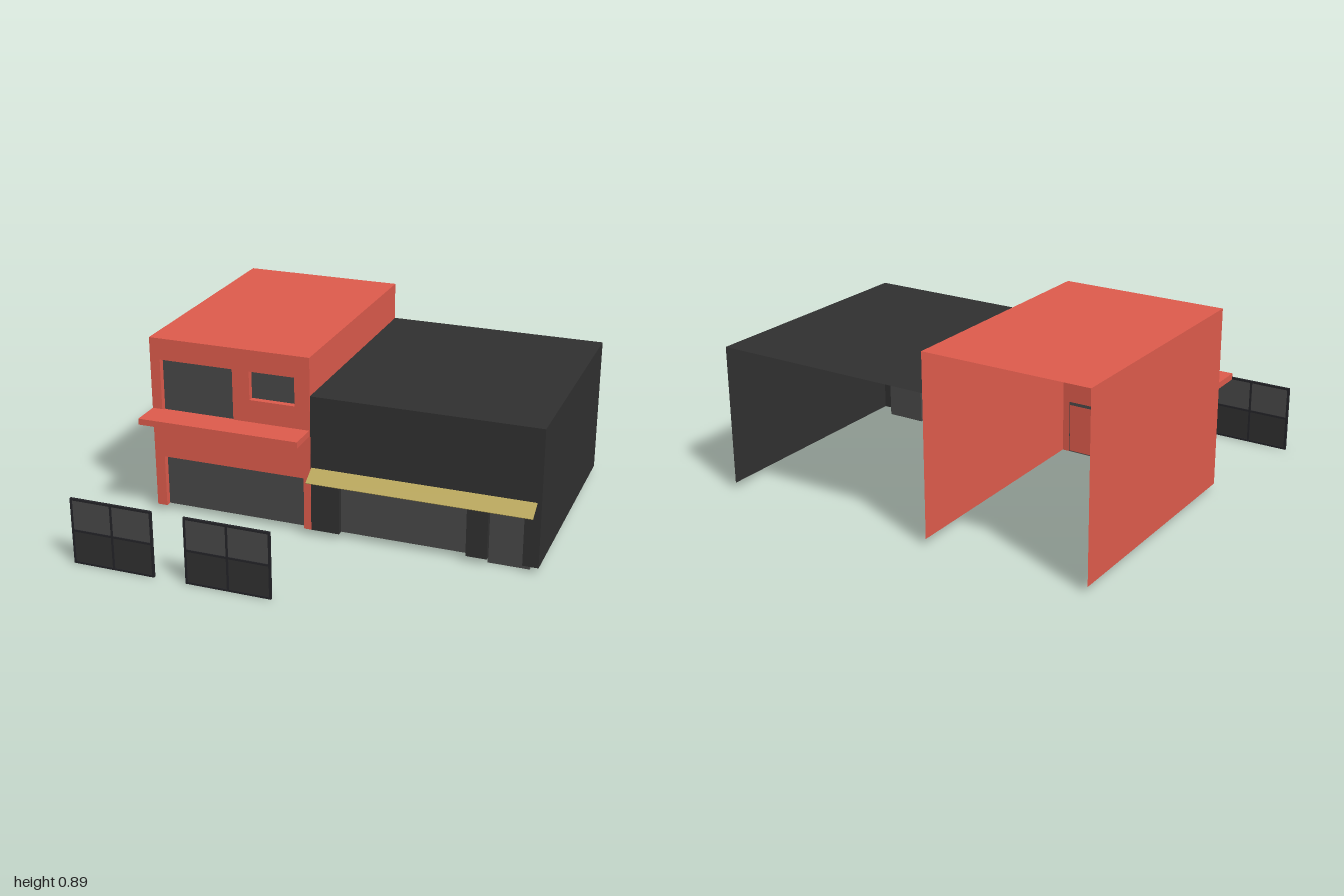
import * as THREE from 'three';

const mat = (color) => new THREE.MeshStandardMaterial({ color, side: THREE.DoubleSide, flatShading: true });
const red = mat(0xdd5b4c), black = mat(0x303030), glass = mat(0x484848), gold = mat(0xb8a65c), frameMat = mat(0x242428);

const BACK = -0.91, FRONT = 0.28, WALL = 0.03, BASE = 0.03;

function add(parent, name, geometry, material) {
  const mesh = new THREE.Mesh(geometry, material);
  mesh.name = name;
  parent.add(mesh);
  return mesh;
}

// Box given by its two corners
function box(parent, name, material, x0, x1, y0, y1, z0, z1) {
  const mesh = add(parent, name, new THREE.BoxGeometry(x1 - x0, y1 - y0, z1 - z0), material);
  mesh.position.set((x0 + x1) / 2, (y0 + y1) / 2, (z0 + z1) / 2);
  return mesh;
}

// Upright panel facing the front
function panel(parent, name, material, [x0, x1, y0, y1], z) {
  const mesh = add(parent, name, new THREE.PlaneGeometry(x1 - x0, y1 - y0), material);
  mesh.position.set((x0 + x1) / 2, (y0 + y1) / 2, z);
}

// Shell open at the back and below, with doorways and windows cut in its front
function building(name, material, x0, x1, top, doorways, windows) {
  const group = new THREE.Group();
  group.name = name;
  const depth = FRONT - BACK, midZ = (FRONT + BACK) / 2;

  const roof = add(group, 'roof', new THREE.PlaneGeometry(x1 - x0, depth).rotateX(-Math.PI / 2), material);
  roof.position.set((x0 + x1) / 2, top, midZ);
  for (const [x, side] of [[x0, -1], [x1, 1]]) {
    const wall = add(group, 'sideWall', new THREE.PlaneGeometry(depth, top - BASE).rotateY(side * Math.PI / 2), material);
    wall.position.set(x, (top + BASE) / 2, midZ);
  }

  const shape = new THREE.Shape();
  shape.moveTo(x0, BASE);
  for (const [a, b, , h] of doorways) {
    shape.lineTo(a, BASE);
    shape.lineTo(a, h);
    shape.lineTo(b, h);
    shape.lineTo(b, BASE);
  }
  shape.lineTo(x1, BASE);
  shape.lineTo(x1, top);
  shape.lineTo(x0, top);
  for (const [a, b, c, d] of windows) {
    const hole = new THREE.Path();
    hole.moveTo(a, c);
    hole.lineTo(a, d);
    hole.lineTo(b, d);
    hole.lineTo(b, c);
    shape.holes.push(hole);
  }
  const front = add(group, 'frontWall', new THREE.ExtrudeGeometry(shape, { depth: WALL, bevelEnabled: false }), material);
  front.position.z = FRONT - WALL;

  // Recessed panes, lined on the inside in the wall colour
  for (const rect of [...doorways, ...windows]) {
    const [a, b, c, d] = rect;
    panel(group, 'pane', glass, rect, FRONT - WALL);
    panel(group, 'paneLining', material, [a + 0.01, b - 0.01, c + 0.01, d - 0.01], FRONT - WALL - 0.012);
  }
  return group;
}

// Freestanding framed screen with two rows of panels
function screen(x0, x1) {
  const group = new THREE.Group();
  group.name = 'screen';
  const top = 0.325, t = 0.01, mid = (x0 + x1) / 2;
  for (const x of [x0, mid - t / 2, x1 - t]) box(group, 'screenPost', frameMat, x, x + t, 0, top, 0.898, 0.91);
  for (const y of [0, 0.16, top - t]) box(group, 'screenRail', frameMat, x0, x1, y, y + t, 0.898, 0.91);
  box(group, 'upperPanels', glass, x0 + t, x1 - t, 0.17, top - t, 0.902, 0.906);
  box(group, 'lowerPanels', black, x0 + t, x1 - t, t, 0.16, 0.902, 0.906);
  return group;
}

export function createModel() {
  const model = new THREE.Group();
  model.name = 'shopBuilding';

  // Tall wing with its ledge
  const tall = building('tallWing', red, -0.9, -0.095, 0.89, [[-0.85, -0.13, BASE, 0.29]],
    [[-0.85, -0.48, 0.525, 0.785], [-0.395, -0.17, 0.645, 0.785]]);
  box(tall, 'ledge', red, -0.9, -0.1, 0.505, 0.535, FRONT, 0.425);
  model.add(tall);

  // Low wing: its left wall is shared with the tall wing
  const low = building('lowWing', black, -0.094, 1, 0.705, [[0.045, 0.66, BASE, 0.33], [0.76, 0.925, BASE, 0.33]], []);
  low.remove(low.children.find((part) => part.name === 'sideWall'));
  box(low, 'door', glass, 0.757, 0.953, 0, 0.325, 0.235, 0.249);
  model.add(low);

  // Sloping awning
  const drop = 0.046, reach = 0.075;
  const awning = box(model, 'awning', gold, -0.09, 0.98, 0, 0.004, 0, Math.hypot(drop, reach));
  awning.position.set(0.445, 0.327, FRONT + reach / 2);
  awning.rotation.x = Math.atan2(drop, reach);

  model.add(screen(-1, -0.595), screen(-0.44, -0.028));
  return model;
}
